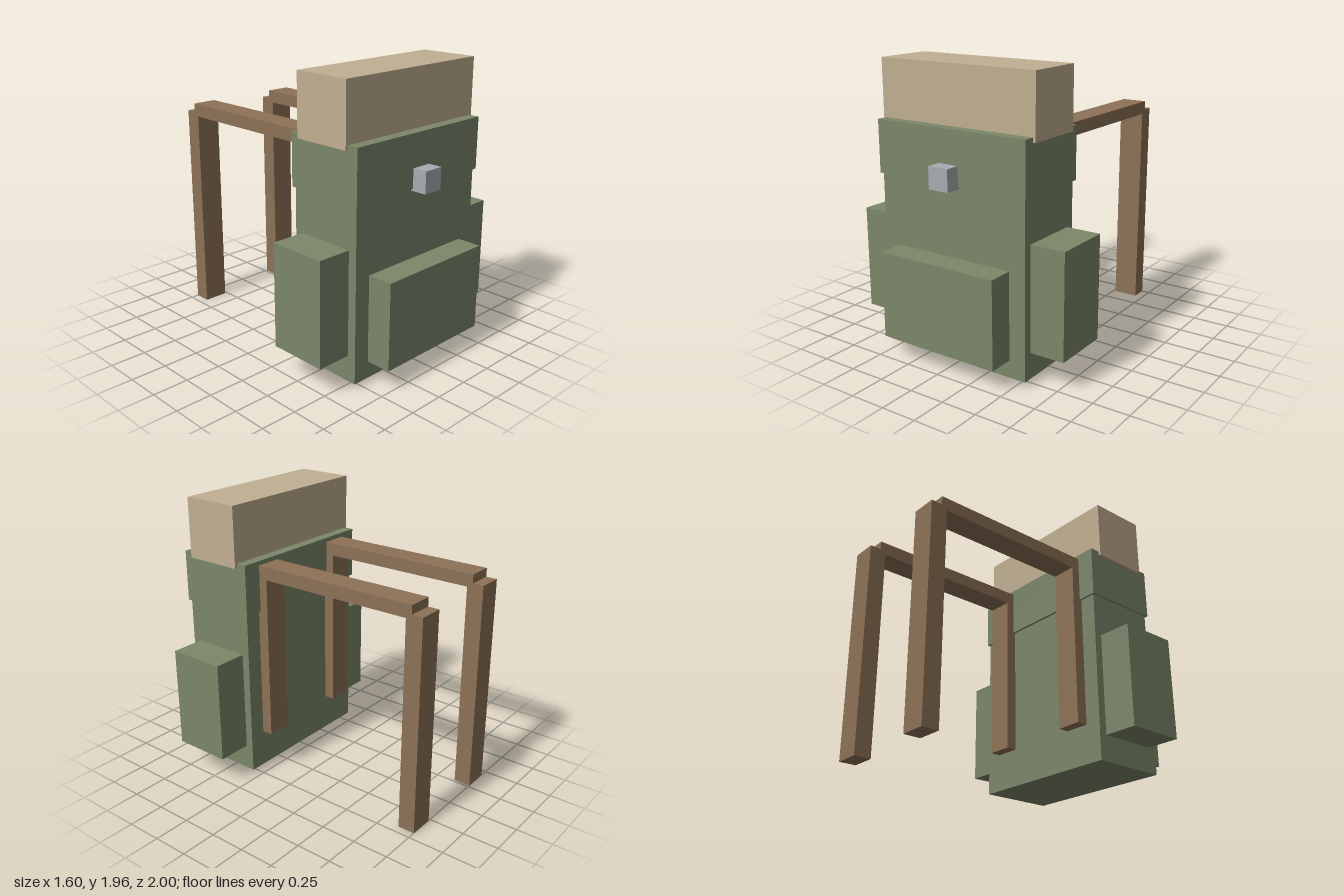
import * as THREE from 'three';

const mat = (name, color) => {
  const m = new THREE.MeshStandardMaterial({ color });
  m.name = name;
  return m;
};

export function createModel() {
  const canvas = mat('greenCanvas', 0x7b876a);
  const leather = mat('brownLeather', 0x8d7256);
  const blanket = mat('tanBlanket', 0xc1af92);
  const metal = mat('greyMetal', 0xa8abb2);

  const model = new THREE.Group();
  model.name = 'backpack';

  // Box given by its extents along each axis
  const box = (name, material, [x0, x1], [y0, y1], [z0, z1], parent = model) => {
    const mesh = new THREE.Mesh(new THREE.BoxGeometry(x1 - x0, y1 - y0, z1 - z0), material);
    mesh.position.set((x0 + x1) / 2, (y0 + y1) / 2, (z0 + z1) / 2);
    mesh.name = name;
    parent.add(mesh);
  };

  // Pack
  box('body', canvas, [-0.56, 0.56], [0.035, 1.5], [0.295, 0.825]);
  box('topFlap', canvas, [-0.575, 0.575], [1.217, 1.573], [0.28, 0.84]);
  box('frontPocket', canvas, [-0.443, 0.443], [0.152, 0.742], [0.8, 1]);
  box('buckle', metal, [-0.074, 0.074], [1.203, 1.35], [0.82, 0.94]);
  box('bedroll', blanket, [-0.593, 0.593], [1.543, 1.96], [0.352, 0.764]);

  // Side pockets and shoulder straps, mirrored
  for (const [side, s] of [['left', 1], ['right', -1]]) {
    const span = (a, b) => (s > 0 ? [a, b] : [-b, -a]);
    box(side + 'Pocket', canvas, span(0.54, 0.8), [0.212, 0.921], [0.352, 0.764]);

    const strap = new THREE.Group();
    strap.name = side + 'Strap';
    model.add(strap);
    const x = span(0.266, 0.443);
    box('strapBack', leather, x, [0.3, 1.48], [0.218, 0.32], strap);
    box('strapTop', leather, x, [1.453, 1.543], [-0.922, 0.31], strap);
    box('strapFront', leather, x, [0, 1.482], [-1, -0.882], strap);
  }
  return model;
}
